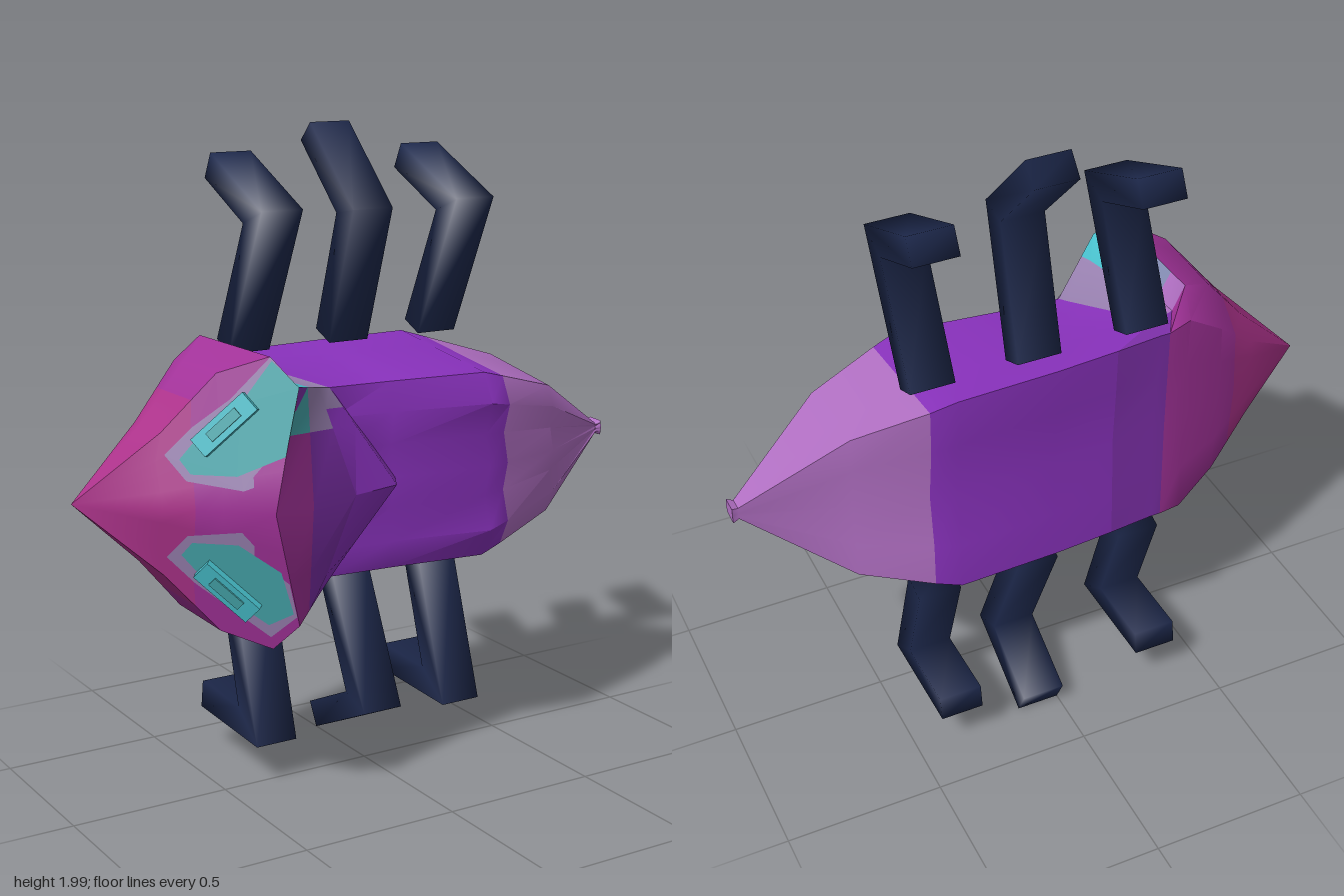
import * as THREE from 'three';
import { mergeVertices, toCreasedNormals } from 'three/addons/utils/BufferGeometryUtils.js';

const CY = 0.96; // mirror plane height
const palette = {
  pink: 0xae338c, magenta: 0xa23299, violet: 0x7e30aa, purple: 0x8a32be, lavender: 0xb270c4,
  mauve: 0x9a82b2, steel: 0x868fb6, teal: 0x47a9ae, cyan: 0x48c0cc, navy: 0x1d284b,
};
const names = Object.keys(palette);
const mats = names.map((n) => {
  const m = new THREE.MeshStandardMaterial({ color: palette[n] });
  m.name = n;
  return m;
});
const mat = (n) => mats[names.indexOf(n)];
const lerp = (a, b, t) => a.map((v, i) => v + (b[i] - v) * t);

// Flat slanted face of the head: z at (x, distance from the mirror plane)
const faceNormal = [-0.1435, 0.046, 0.1575];
const faceZ = (x, d) => -0.05 + (0.1435 * (x + 0.95) - 0.046 * d) / 0.1575;
const onFace = (x, d) => [x, d, faceZ(x, d)];

// Mirrored skin over rows of [x, distance, z] points, one colour for each cell and side
function skin(name, rows, colour) {
  const byColour = {};
  const tri = (list, a, b, c) => {
    const [p, q, r] = [a, b, c].map((v) => new THREE.Vector3(...v));
    if (q.clone().sub(p).cross(r.clone().sub(p)).length() > 1e-7) list.push(...a, ...b, ...c);
  };
  for (const s of [1, -1]) {
    for (let i = 0; i < rows.length - 1; i++) {
      for (let j = 0; j < rows[i].length - 1; j++) {
        const list = (byColour[colour(i, j, s)] ??= []);
        const q = [rows[i][j], rows[i + 1][j], rows[i + 1][j + 1], rows[i][j + 1]]
          .map(([x, d, z]) => [x, CY + s * d, z]);
        if (s < 0) q.reverse();
        tri(list, q[0], q[1], q[2]);
        tri(list, q[0], q[2], q[3]);
      }
    }
  }
  const geo = new THREE.BufferGeometry();
  const pos = [];
  for (const [c, list] of Object.entries(byColour)) {
    geo.addGroup(pos.length / 3, list.length / 3, names.indexOf(c));
    pos.push(...list);
  }
  geo.setAttribute('position', new THREE.Float32BufferAttribute(pos, 3));
  const mesh = new THREE.Mesh(toCreasedNormals(geo, 0.75), mats);
  mesh.name = name;
  return mesh;
}

// Half cross-section: front centre, corner, side, back corner, back centre; pleat ripples the front
function section(F, C, B, K, { S1 = lerp(C, B, 0.1), S2 = lerp(C, B, 0.65), pleat = 0 } = {}) {
  const F1 = lerp(F, C, 0.34), F2 = lerp(F, C, 0.69), K1 = lerp(B, K, 0.45);
  F1[2] -= 0.015 * pleat;
  F2[2] += 0.04 * pleat;
  K1[2] -= 0.012 * pleat;
  return [F, F1, F2, C, S1, lerp(S1, S2, 0.3), lerp(S1, S2, 0.8), S2, B, K1, K];
}
const ring = (x, f, hc, zc, hb, zb, k, pleat) =>
  section([x, 0, f], [x, hc, zc], [x, hb, zb], [x, 0, k], { pleat });

function makeLeg(side, hipX, tipX, path) {
  // Mitred outline of the bent leg in (z, y)
  const t = 0.043;
  const p = path.map(([z, y]) => new THREE.Vector2(z, y));
  const normal = (a, b) => { const d = b.clone().sub(a).normalize(); return new THREE.Vector2(-d.y, d.x); };
  const n1 = normal(p[0], p[1]), n2 = normal(p[1], p[2]);
  const off = [n1, n1.clone().add(n2).divideScalar(1 + n1.dot(n2)), n2].map((n) => n.clone().multiplyScalar(t));
  const outline = [...p.map((v, i) => v.clone().add(off[i])), ...p.map((v, i) => v.clone().sub(off[i])).reverse()];
  let geo = new THREE.ExtrudeGeometry(new THREE.Shape(outline), { depth: 0.138, bevelEnabled: false });
  geo.translate(0, 0, -0.069).rotateY(-Math.PI / 2);
  // Lean along the body
  const a = geo.attributes.position;
  for (let i = 0; i < a.count; i++) {
    const f = (a.getY(i) - p[0].y) / (p[2].y - p[0].y);
    a.setX(i, a.getX(i) + hipX + (tipX - hipX) * f);
  }
  // Soft shading across the edges
  geo.deleteAttribute('normal');
  geo.deleteAttribute('uv');
  geo.clearGroups();
  geo = mergeVertices(geo);
  geo.computeVertexNormals();
  const mesh = new THREE.Mesh(geo, mat('navy'));
  mesh.name = side + 'Leg';
  return mesh;
}

export function createModel() {
  const group = new THREE.Group();

  // Head, neck flange, trunk and tail in one skin
  const F = [-0.51, 0, 0.36], C = [-0.42, 0.35, 0.33], E = [-0.2, 0.29, 0.13];
  const tip = [-0.95, 0, -0.05];
  const rows = [
    section(tip, tip, tip, tip),
    section(onFace(-0.75, 0), onFace(-0.75, 0.13), [-0.74, 0.14, -0.14], [-0.75, 0, -0.14],
      { S1: onFace(-0.73, 0.21), S2: [-0.73, 0.21, -0.08] }),
    section(onFace(-0.62, 0), onFace(-0.6, 0.24), [-0.59, 0.27, -0.2], [-0.6, 0, -0.2],
      { S1: onFace(-0.59, 0.38), S2: [-0.59, 0.375, -0.1] }),
    section(F, C, [-0.46, 0.36, -0.23], [-0.45, 0, -0.235],
      { S1: onFace(-0.47, 0.43), S2: [-0.48, 0.43, -0.15] }),
    section([-0.43, 0, 0.3], C, [-0.38, 0.35, -0.25], [-0.38, 0, -0.245],
      { S1: [-0.42, 0.35, 0.27], S2: [-0.44, 0.35, -0.15] }),
    section([-0.34, 0, 0.23], lerp(C, E, 0.35), [-0.35, 0.35, -0.25], [-0.34, 0, -0.245],
      { S1: [-0.355, 0.332, 0.22], S2: [-0.425, 0.35, -0.155] }),
    section([-0.2, 0, 0.15], E, [-0.2, 0.35, -0.265], [-0.2, 0, -0.25],
      { S1: [-0.215, 0.295, 0.1], S2: [-0.37, 0.348, -0.17], pleat: 0.2 }),
    ring(0, 0.17, 0.29, 0.145, 0.35, -0.28, -0.26, 0.4),
    ring(0.32, 0.22, 0.29, 0.18, 0.35, -0.29, -0.265, 0.85),
    ring(0.4, 0.2, 0.268, 0.165, 0.325, -0.275, -0.25, 0.75),
    ring(0.62, 0.14, 0.205, 0.11, 0.255, -0.21, -0.195, 0.4),
    ring(0.93, -0.035, 0.017, -0.04, 0.02, -0.085, -0.085, 0.1),
    ring(0.95, -0.03, 0.024, -0.035, 0.026, -0.09, -0.09, 0),
    ring(0.95, -0.06, 0, -0.06, 0, -0.06, -0.06, 0),
  ];
  rows.splice(2, 0, rows[1].map((p, j) => lerp(p, rows[2][j], 0.55))); // colour break on the head
  const bands = ['pink', 'pink', 'magenta', 'magenta', 'magenta', 'violet', 'violet', 'purple', 'purple', 'purple'];
  const wall = { 3: 'cyan', 4: 'cyan', 5: 'steel', 6: 'lavender' };
  const lowerWall = { 3: 'teal', 4: 'teal', 5: 'mauve', 6: 'magenta' };
  group.add(skin('body', rows, (i, j, s) => {
    if (i === 4 || i === 5) return (s > 0 ? wall : lowerWall)[j] ?? bands[i]; // flange wall and patch behind it
    if (i === 6 && j >= 3 && j <= 6) return 'mauve';
    return bands[i] ?? 'lavender';
  }));

  // Raised pointed hood over the front of the back, patched on its upper side only
  const P = [-0.04, 0, 0.25];
  const us = [0, 0.62, 0.8, 1];
  const hood = [0, 0.3, 0.65, 1].map((t) => us.map((u) => lerp(lerp(F, P, t), lerp(C, E, t), u)));
  hood.push(us.map((u) => lerp([0.01, 0, 0.16], [-0.19, 0.29, 0.12], u))); // edge of the hood
  group.add(skin('hood', hood, (i, j, s) => {
    if (s > 0 && i === 0 && j > 0) return 'teal';
    if (s > 0 && ((i === 1 && j > 0) || (i === 2 && j === 2))) return 'mauve';
    return ['magenta', 'violet', 'purple', 'violet'][i];
  }));

  // Eye markings and eyes
  const start = { ring: [[-0.73, 0.15], [-0.69, 0.08], [-0.57, 0.06]], inner: [[-0.7, 0.14], [-0.68, 0.1], [-0.58, 0.1]] };
  const corner = { // end of each marking near the flange
    upper: {
      ring: [[-0.485, 0.1], [-0.42, 0.35], [-0.47, 0.43], [-0.57, 0.31], [-0.66, 0.23]],
      inner: [[-0.47, 0.16], [-0.42, 0.35], [-0.47, 0.42], [-0.55, 0.3], [-0.64, 0.22]],
    },
    lower: {
      ring: [[-0.48, 0.13], [-0.43, 0.32], [-0.48, 0.39], [-0.57, 0.31], [-0.66, 0.23]],
      inner: [[-0.48, 0.18], [-0.44, 0.31], [-0.49, 0.35], [-0.55, 0.3], [-0.64, 0.22]],
    },
  };
  for (const s of [1, -1]) {
    const side = s > 0 ? 'upper' : 'lower';
    [['ring', 'mauve', 0.003], ['inner', 'teal', 0.007]].forEach(([key, colour, lift]) => {
      const pts = [...start[key], ...corner[side][key]];
      const geo = new THREE.ShapeGeometry(new THREE.Shape(pts.map(([x, d]) => new THREE.Vector2(x, s * d))));
      const a = geo.attributes.position;
      for (let i = 0; i < a.count; i++) {
        const x = a.getX(i), y = a.getY(i);
        a.setXYZ(i, x, CY + y, faceZ(x, Math.abs(y)) + lift);
      }
      geo.computeVertexNormals();
      const patch = new THREE.Mesh(geo, mat(colour));
      patch.name = side + 'EyeMarking';
      group.add(patch);
    });
    const n = new THREE.Vector3(faceNormal[0], s * faceNormal[1], faceNormal[2]).normalize();
    const u = new THREE.Vector3(0.14, s * 0.15, faceZ(-0.51, 0.31) - faceZ(-0.65, 0.16)).normalize();
    const eye = new THREE.Group();
    eye.name = side + 'Eye';
    eye.add(new THREE.Mesh(new THREE.BoxGeometry(0.2, 0.065, 0.035), mat('cyan')));
    const slit = new THREE.Mesh(new THREE.BoxGeometry(0.11, 0.03, 0.008), mat('teal'));
    slit.position.z = 0.019;
    eye.add(slit);
    eye.quaternion.setFromRotationMatrix(new THREE.Matrix4().makeBasis(u, n.clone().cross(u), n));
    eye.position.set(-0.585, CY + s * 0.24, faceZ(-0.585, 0.24)).addScaledVector(n, 0.012);
    group.add(eye);
  }

  // Three bent legs on each side; the middle pair is set differently
  const hips = [-0.3, 0.05, 0.38];
  const upperTips = [-0.285, 0.013, 0.395], lowerTips = [-0.325, 0.067, 0.36];
  hips.forEach((x, i) => {
    const mid = i === 1;
    group.add(makeLeg('upper', x, upperTips[i],
      [[-0.215, 1.335], [-0.04, 1.74], mid ? [-0.25, 1.965] : [-0.325, 1.87]]));
    group.add(makeLeg('lower', x, lowerTips[i],
      [[-0.215, 0.585], [-0.045, 0.17], mid ? [-0.32, 0.042] : [-0.355, 0.18]]));
  });
  return group;
}
